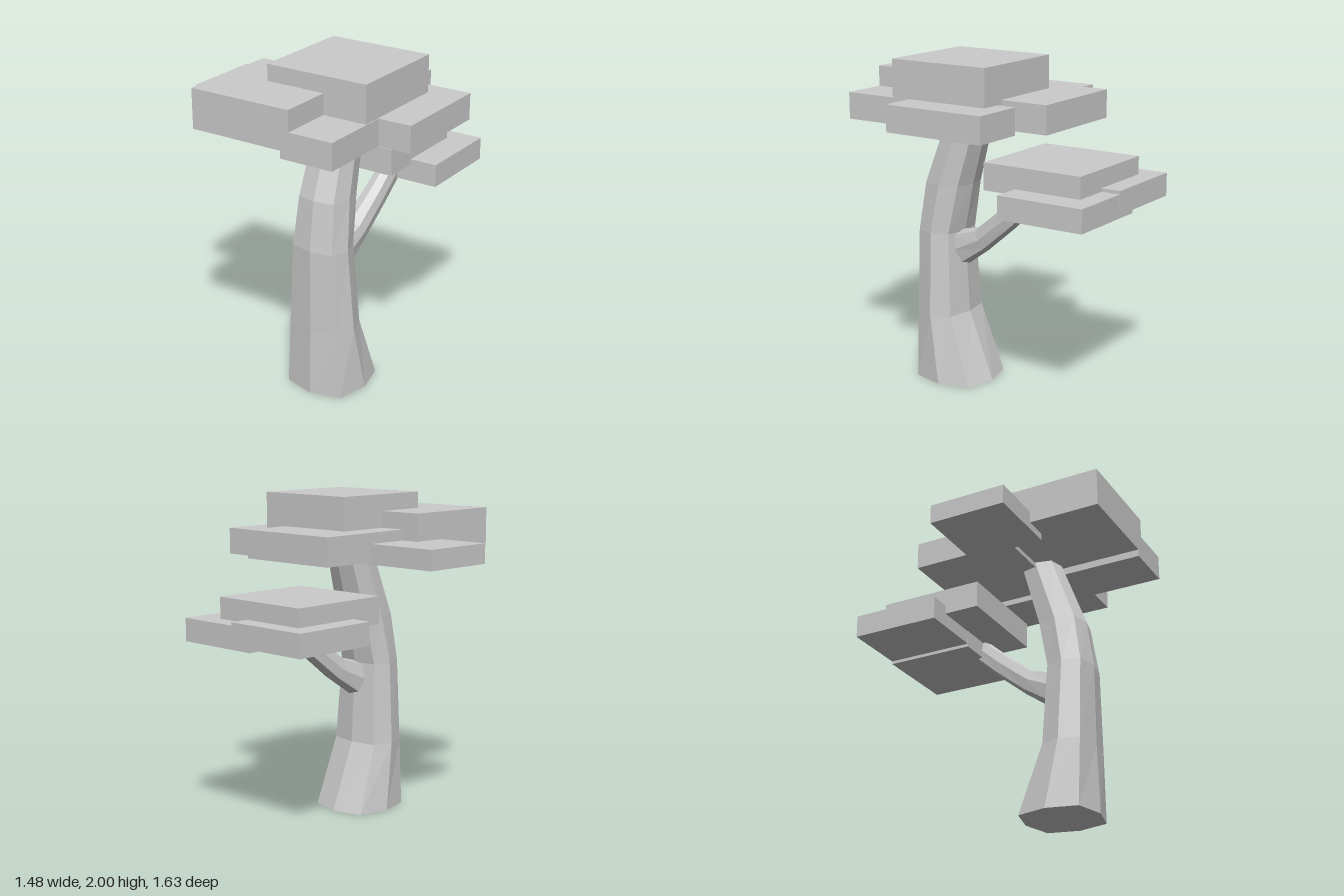
import * as THREE from 'three';

const material = new THREE.MeshStandardMaterial({ color: 0xcccccc, flatShading: true });

// Eight-sided ring with squarish corners, as unit offsets
const RING = [[0, 1], [0.8, 0.8], [1, 0], [0.8, -0.8], [0, -1], [-0.8, -0.8], [-1, 0], [-0.8, 0.8]];

// Lofts a closed limb through sections: [x, y, z, halfWidth, halfDepth, tilt towards the back]
function limb(name, sections) {
  const positions = [];
  const index = [];
  const n = RING.length;
  for (const [x, y, z, hw, hd, tilt] of sections) {
    for (const [u, v] of RING) {
      positions.push(x + u * hw, y + v * hd * Math.sin(tilt), z + v * hd * Math.cos(tilt));
    }
  }
  const last = sections.length - 1;
  for (let j = 0; j < n; j++) {
    const k = (j + 1) % n;
    for (let i = 0; i < last; i++) {
      const a = i * n + j, b = i * n + k;
      index.push(a, b, b + n, a, b + n, a + n);
    }
  }
  // End caps
  for (let j = 1; j < n - 1; j++) {
    index.push(0, j + 1, j);
    index.push(last * n, last * n + j, last * n + j + 1);
  }
  const indexed = new THREE.BufferGeometry();
  indexed.setAttribute('position', new THREE.Float32BufferAttribute(positions, 3));
  indexed.setIndex(index);
  const geometry = indexed.toNonIndexed();
  geometry.computeVertexNormals();
  const mesh = new THREE.Mesh(geometry, material);
  mesh.name = name;
  return mesh;
}

// Foliage slab from its lower and upper limits on each axis
function slab(name, [x0, x1], [y0, y1], [z0, z1]) {
  const mesh = new THREE.Mesh(new THREE.BoxGeometry(x1 - x0, y1 - y0, z1 - z0), material);
  mesh.position.set((x0 + x1) / 2, (y0 + y1) / 2, (z0 + z1) / 2);
  mesh.name = name;
  return mesh;
}

export function createModel() {
  const tree = new THREE.Group();
  tree.name = 'tree';

  // Leaning trunk, flared at the foot
  tree.add(limb('trunk', [
    [0.165, 0, 0.28, 0.237, 0.24, 0],
    [0.165, 0.42, 0.357, 0.207, 0.151, 0],
    [0.165, 0.93, 0.372, 0.172, 0.136, 0],
    [0.165, 1.23, 0.321, 0.15, 0.146, 0],
    [0.163, 1.68, 0.175, 0.12, 0.125, 0],
  ]));

  // Branch rising from the back of the trunk
  tree.add(limb('branch', [
    [0.175, 0.83, 0.25, 0.085, 0.11, 1.05],
    [0.185, 0.91, 0.08, 0.075, 0.075, 1.05],
    [0.205, 1.08, -0.13, 0.065, 0.07, 0.98],
    [0.225, 1.235, -0.3, 0.055, 0.068, 0.88],
  ]));

  // Upper crown
  const crown = new THREE.Group();
  crown.name = 'upperCrown';
  crown.add(
    slab('topSlab', [-0.13, 0.525], [1.7, 2], [-0.17, 0.485]),
    slab('frontSlab', [-0.405, 0.25], [1.66, 1.9], [0.16, 0.815]),
    slab('frontLeftSlab', [0.195, 0.53], [1.615, 1.775], [0.16, 0.815]),
    slab('leftSlab', [0.4, 0.735], [1.615, 1.775], [-0.29, 0.365]),
    slab('rightSlab', [-0.74, -0.255], [1.615, 1.735], [-0.11, 0.375]),
    slab('backSlab', [-0.29, 0.365], [1.63, 1.8], [-0.475, 0.18]),
  );

  // Lower crown on the branch
  const lower = new THREE.Group();
  lower.name = 'lowerCrown';
  lower.add(
    slab('lowerTopSlab', [-0.29, 0.365], [1.26, 1.425], [-0.7, -0.045]),
    slab('lowerRightSlab', [-0.42, 0.135], [1.175, 1.315], [-0.82, -0.265]),
    slab('lowerLeftSlab', [-0.015, 0.54], [1.155, 1.295], [-0.818, -0.262]),
  );

  tree.add(crown, lower);
  return tree;
}
